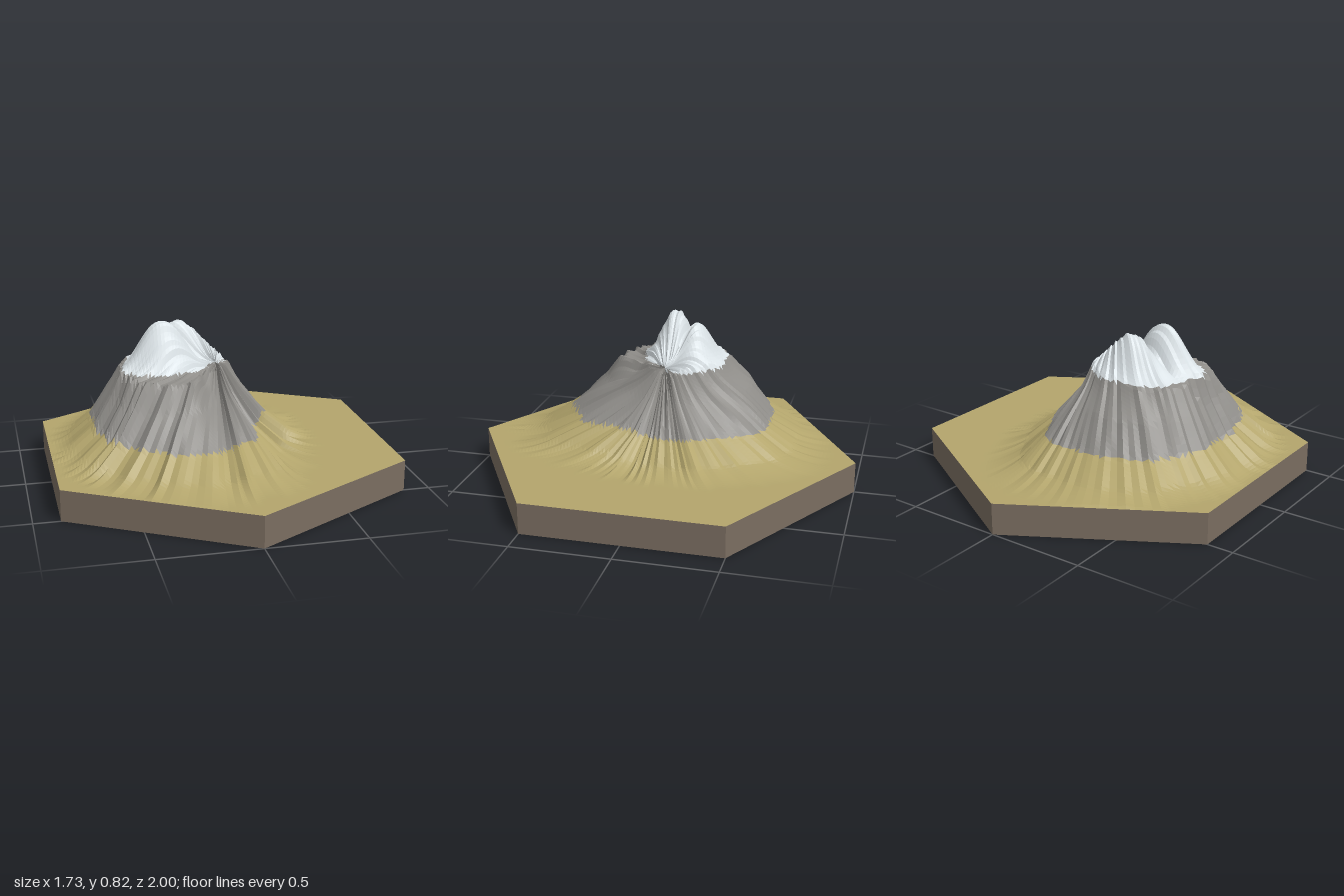
import * as THREE from 'three';

const BASE = 0.16, RINGS = 50, SIDE = 24, SPOKES = SIDE * 6;
const CENTRE = { x: -0.2, z: -0.05 };

// Contour heights, and their distance from the mountain centre every 30 degrees (from +x towards +z)
const LEVELS = [0.57, 0.45, 0.3, 0.2, BASE];
const CONTOURS = [
  [0.26, 0.34, 0.46, 0.58, 0.72],
  [0.22, 0.30, 0.42, 0.56, 0.74],
  [0.20, 0.34, 0.54, 0.72, 0.90],
  [0.33, 0.42, 0.60, 0.75, 0.95],
  [0.34, 0.42, 0.54, 0.66, 0.80],
  [0.33, 0.38, 0.47, 0.60, 0.72],
  [0.28, 0.35, 0.44, 0.56, 0.66],
  [0.29, 0.37, 0.46, 0.57, 0.70],
  [0.26, 0.38, 0.48, 0.62, 0.78],
  [0.22, 0.36, 0.48, 0.63, 0.82],
  [0.24, 0.36, 0.52, 0.66, 0.87],
  [0.25, 0.34, 0.47, 0.60, 0.77],
];

const hash = (n) => {
  const s = Math.sin(n * 127.1 + 3.7) * 43758.5453;
  return s - Math.floor(s);
};

// Two summits standing on the shoulder of the mountain
function summits(x, z) {
  const a = Math.hypot((x + 0.28) / 0.15, z / (z > 0 ? 0.11 : 0.085));
  const b = Math.hypot((x + 0.18) / 0.17, (z + 0.13) / 0.1);
  return Math.max(0.25 * Math.exp(-Math.pow(a, 2.4)), 0.22 * Math.exp(-b * b));
}

function heightAt(x, z, spoke) {
  const dx = x - CENTRE.x, dz = z - CENTRE.z;
  const turn = ((Math.atan2(dz, dx) / (Math.PI * 2) + 1) % 1) * 12;
  const i = Math.floor(turn) % 12, f = turn - Math.floor(turn);
  const t = f * f * (3 - 2 * f);
  const radii = LEVELS.map((_, k) => THREE.MathUtils.lerp(CONTOURS[i][k], CONTOURS[(i + 1) % 12][k], t));
  // Gullies: neighbouring spokes are pushed in and out, most on the front
  const rough = dz > 0 ? 0.1 : 0.05;
  const r = Math.hypot(dx, dz) * (1 + rough * (hash(spoke) - 0.5));
  let h = BASE;
  if (r <= radii[0]) h = LEVELS[0];
  else {
    for (let k = 0; k < 4; k++) {
      if (r > radii[k] && r <= radii[k + 1]) {
        let u = (r - radii[k]) / (radii[k + 1] - radii[k]);
        if (k === 3) u = 1 - (1 - u) * (1 - u); // soft foot
        h = THREE.MathUtils.lerp(LEVELS[k], LEVELS[k + 1], u);
      }
    }
  }
  const top = THREE.MathUtils.smoothstep(h, 0.45, 0.57);
  const crag = THREE.MathUtils.smoothstep(h, 0.26, 0.4) * (hash(spoke * 3 + 11) - 0.5) * 0.018;
  return h + top * summits(x, z) + crag;
}

// Point on the outline of the hexagon for a spoke number
function rim(j) {
  const corner = (k) => new THREE.Vector2(Math.sin(k * Math.PI / 3), Math.cos(k * Math.PI / 3));
  const side = Math.floor(j / SIDE);
  return corner(side).lerp(corner(side + 1), (j % SIDE) / SIDE);
}

function createTerrain(materials) {
  // Hexagonal rings of points
  const points = [];
  for (let i = 0; i <= RINGS; i++) {
    const row = [];
    for (let j = 0; j < SPOKES; j++) {
      const p = rim(j).multiplyScalar(i / RINGS);
      const y = i === RINGS ? BASE : heightAt(p.x, p.y, i === 0 ? 0 : j);
      row.push(new THREE.Vector3(p.x, y, p.y));
    }
    points.push(row);
  }

  // Each face goes to the sand, rock or snow surface by its height
  const surfaces = { sand: [], rock: [], snow: [] };
  const addFace = (a, b, c) => {
    const y = (a.y + b.y + c.y) / 3;
    const list = y > 0.585 ? surfaces.snow : y > 0.3 ? surfaces.rock : surfaces.sand;
    for (const p of [a, b, c]) list.push(p.x, p.y, p.z);
  };
  for (let i = 0; i < RINGS; i++) {
    for (let j = 0; j < SPOKES; j++) {
      const k = (j + 1) % SPOKES;
      const [a, b, c, d] = [points[i][j], points[i + 1][j], points[i + 1][k], points[i][k]];
      addFace(a, b, c);
      if (i > 0) addFace(a, c, d);
    }
  }

  const terrain = new THREE.Group();
  terrain.name = 'mountain';
  for (const [name, list] of Object.entries(surfaces)) {
    const geometry = new THREE.BufferGeometry();
    geometry.setAttribute('position', new THREE.Float32BufferAttribute(list, 3));
    geometry.computeVertexNormals();
    const mesh = new THREE.Mesh(geometry, materials[name]);
    mesh.name = name + 'Slopes';
    terrain.add(mesh);
  }
  return terrain;
}

export function createModel() {
  const material = (name, color) => {
    const m = new THREE.MeshStandardMaterial({ color });
    m.name = name;
    return m;
  };
  const materials = {
    sand: material('sand', 0xb3a56c),
    rock: material('rock', 0x8f8d89),
    snow: material('snow', 0xe2eaee),
    earth: material('earth', 0x7a6d60),
  };
  const model = new THREE.Group();
  model.name = 'mountainTile';

  // Hexagonal earth base: walls and underside
  const walls = new THREE.CylinderGeometry(1, 1, BASE, 6, 1, true).toNonIndexed();
  walls.computeVertexNormals();
  const wallMesh = new THREE.Mesh(walls, materials.earth);
  wallMesh.name = 'baseWalls';
  wallMesh.position.y = BASE / 2;
  const underside = new THREE.Mesh(new THREE.CircleGeometry(1, 6, Math.PI / 2), materials.earth);
  underside.name = 'baseUnderside';
  underside.rotation.x = Math.PI / 2;

  model.add(wallMesh, underside, createTerrain(materials));
  return model;
}
